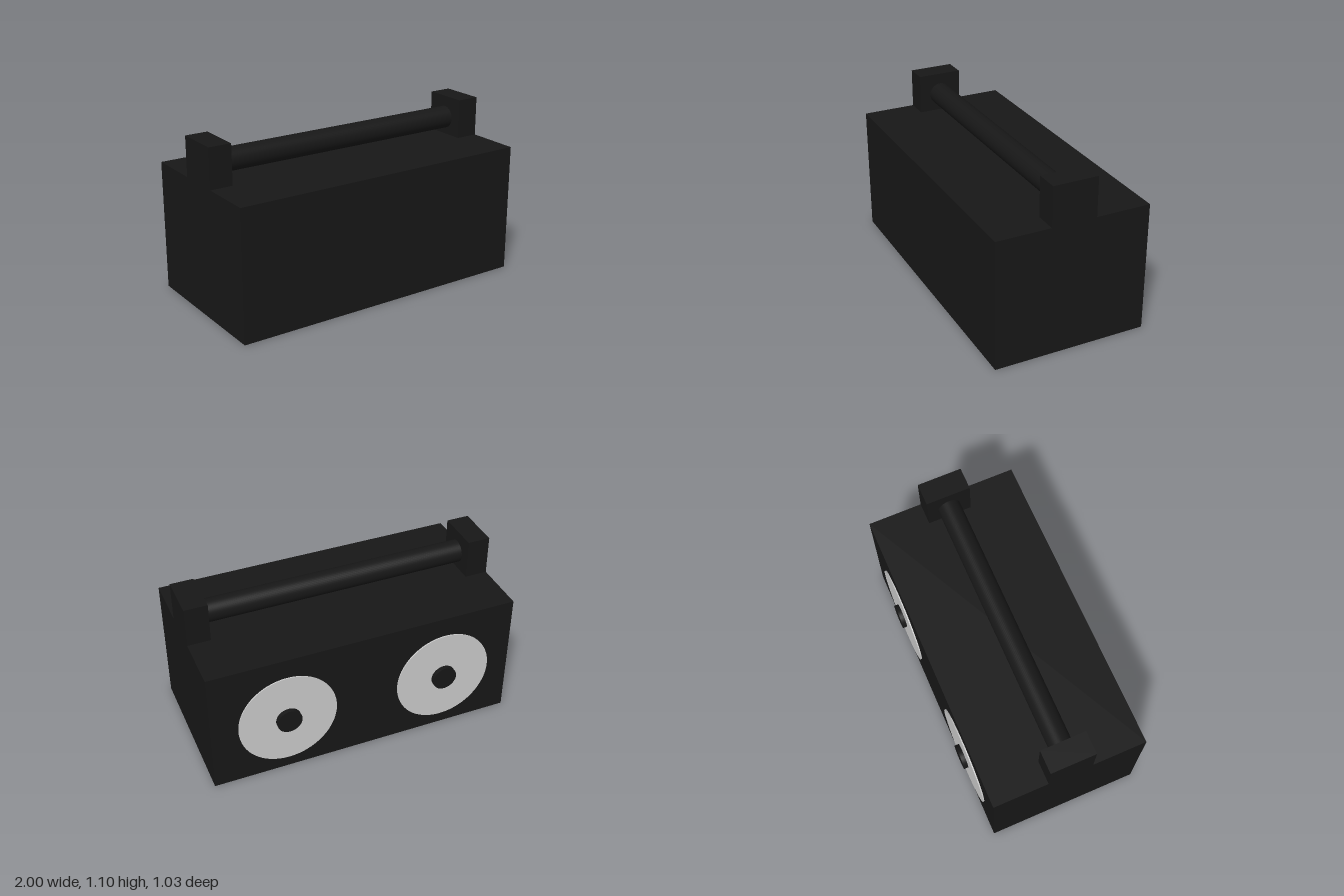
import * as THREE from 'three';

export function createModel() {
  const model = new THREE.Group();
  const dark = new THREE.MeshStandardMaterial({ color: 0x171717 });
  const grey = new THREE.MeshStandardMaterial({ color: 0xcccccc });

  const add = (name, geometry, material, x = 0, y = 0, z = 0) => {
    const mesh = new THREE.Mesh(geometry, material);
    mesh.name = name;
    mesh.position.set(x, y, z);
    model.add(mesh);
    return mesh;
  };

  const front = 0.515, back = -0.477, height = 0.84, wall = 0.025, ceiling = 0.655;

  // Hollow case, open underneath: four thin walls as one extruded frame
  const rect = (P, x, z0, z1) => new P([
    new THREE.Vector2(-x, -z1), new THREE.Vector2(x, -z1),
    new THREE.Vector2(x, -z0), new THREE.Vector2(-x, -z0),
  ]);
  const frame = rect(THREE.Shape, 1, back, front);
  frame.holes.push(rect(THREE.Path, 1 - wall, back + wall, front - wall));
  const walls = new THREE.ExtrudeGeometry(frame, { depth: ceiling, bevelEnabled: false });
  walls.rotateX(-Math.PI / 2);
  add('caseWalls', walls, dark);

  // Thick solid top closing the case
  add('caseTop', new THREE.BoxGeometry(2, height - ceiling, front - back), dark,
    0, (height + ceiling) / 2, (front + back) / 2);

  // Handle: a post at each end and a round bar between them
  for (const [side, s] of [['left', 1], ['right', -1]]) {
    add(side + 'HandlePost', new THREE.BoxGeometry(0.147, 0.257, 0.289), dark,
      s * 0.9265, height + 0.1285, 0.021);
  }
  const bar = add('handleBar', new THREE.CylinderGeometry(0.073, 0.073, 1.72, 48), dark,
    0, 0.955, 0.02);
  bar.rotation.z = Math.PI / 2;

  // Two speaker discs with raised hubs on the back
  for (const [side, x] of [['left', 0.51], ['right', -0.534]]) {
    const disc = add(side + 'SpeakerDisc', new THREE.CylinderGeometry(0.317, 0.317, 0.02, 64), grey,
      x, 0.393, -0.475);
    const hub = add(side + 'SpeakerHub', new THREE.CylinderGeometry(0.08, 0.08, 0.05, 48), dark,
      x, 0.393, -0.488);
    disc.rotation.x = hub.rotation.x = Math.PI / 2;
  }

  return model;
}
